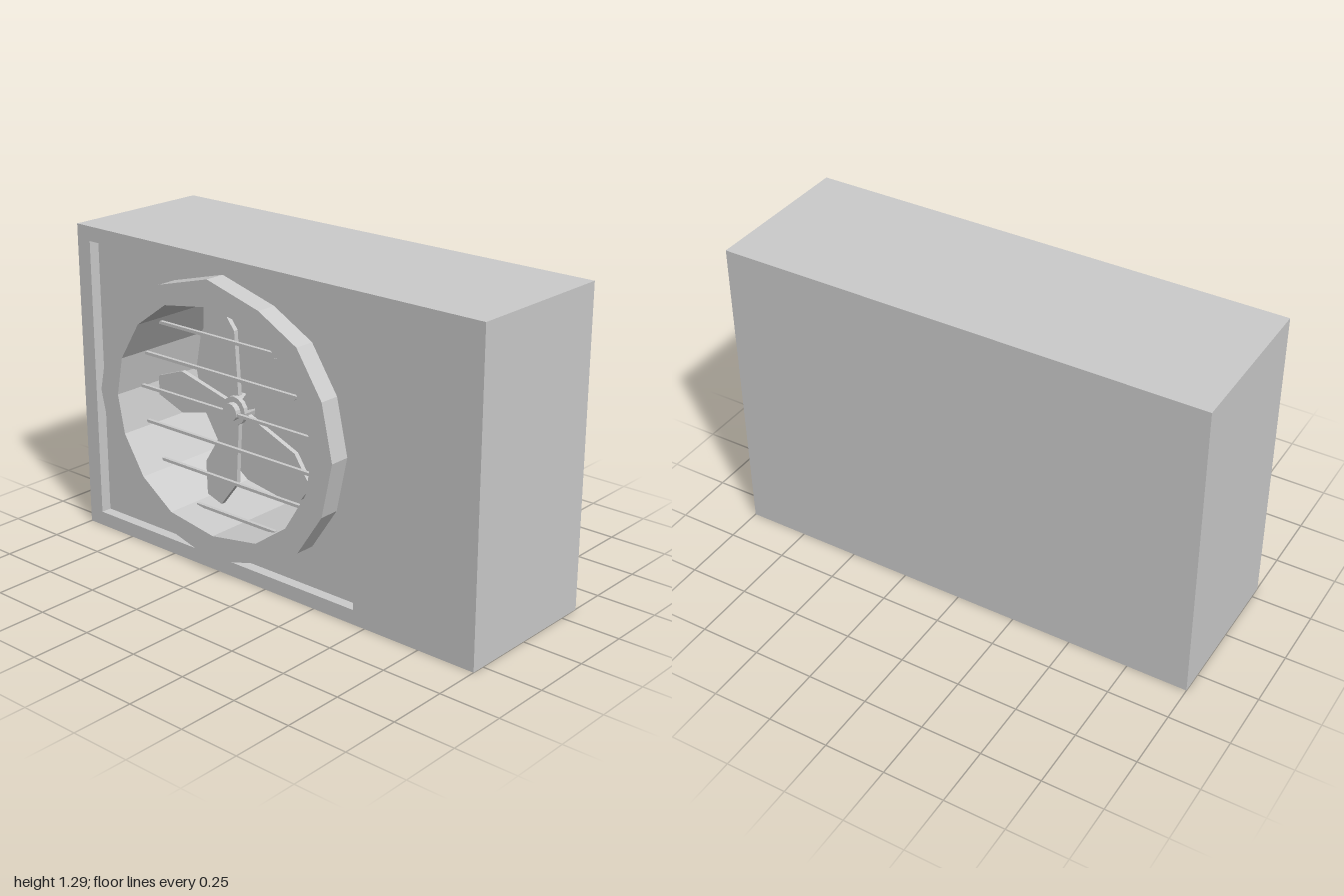
import * as THREE from 'three';

const material = new THREE.MeshStandardMaterial({ color: 0xcccccc, flatShading: true, side: THREE.DoubleSide });
const FRONT = 0.305, PANEL = 0.26, RIM = 0.345, BACK = -0.345, DUCT_BACK = -0.1;
const FAN = { x: -0.24, y: 0.635 };

// Mirror a quarter outline (top to right) into a closed 16-sided loop
function mirrorLoop(quarter) {
  const half = [...quarter, ...quarter.slice(0, -1).reverse().map(([x, y]) => [x, -y])];
  const full = [...half, ...half.slice(1, -1).reverse().map(([x, y]) => [-x, y])];
  return full.map(([x, y]) => new THREE.Vector2(FAN.x + x, FAN.y + y));
}

function rectLoop(x0, y0, x1, y1) {
  return [[x0, y0], [x1, y0], [x1, y1], [x0, y1]].map(([x, y]) => new THREE.Vector2(x, y));
}

function plate(outer, hole) {
  const shape = new THREE.Shape(outer);
  if (hole) shape.holes.push(new THREE.Path(hole));
  return shape;
}

// Open wall that follows a loop between two depths
function wallGeometry(loop, z0, z1) {
  const positions = [];
  loop.forEach((a, i) => {
    const b = loop[(i + 1) % loop.length];
    positions.push(a.x, a.y, z0, b.x, b.y, z0, b.x, b.y, z1);
    positions.push(a.x, a.y, z0, b.x, b.y, z1, a.x, a.y, z1);
  });
  const geometry = new THREE.BufferGeometry();
  geometry.setAttribute('position', new THREE.Float32BufferAttribute(positions, 3));
  geometry.computeVertexNormals();
  return geometry;
}

export function createModel() {
  const group = new THREE.Group();
  const add = (name, geometry, x = 0, y = 0, z = 0, parent = group) => {
    const mesh = new THREE.Mesh(geometry, material);
    mesh.name = name;
    mesh.position.set(x, y, z);
    parent.add(mesh);
    return mesh;
  };

  const outer = mirrorLoop([[0, 0.575], [0.26, 0.505], [0.445, 0.405], [0.565, 0.225], [0.615, 0]]);
  const innerQuarter = [[0, 0.467], [0.23, 0.43], [0.385, 0.32], [0.485, 0.16], [0.517, 0]];
  const inner = mirrorLoop(innerQuarter);
  const recess = rectLoop(-0.93, 0.06, 0.445, 1.23);

  // Casing: box without its front, closed by a frame
  const casing = new THREE.BoxGeometry(2, 1.29, FRONT - BACK);
  const faces = Array.from(casing.index.array);
  faces.splice(24, 6);
  casing.setIndex(faces);
  add('casing', casing, 0, 0.645, (FRONT + BACK) / 2);
  add('frontFrame', new THREE.ShapeGeometry(plate(rectLoop(-1, 0, 1, 1.29), recess)), 0, 0, FRONT);

  // Recessed panel with the round opening
  add('recessWalls', wallGeometry(recess, PANEL, FRONT));
  add('recessedPanel', new THREE.ShapeGeometry(plate(recess, inner)), 0, 0, PANEL);

  // Raised ring and the duct behind it
  add('fanRing', new THREE.ExtrudeGeometry(plate(outer, inner), { depth: RIM - PANEL, bevelEnabled: false }), 0, 0, PANEL);
  add('ductWall', wallGeometry(inner, DUCT_BACK, PANEL));
  add('ductBack', new THREE.ShapeGeometry(plate(inner)), 0, 0, DUCT_BACK);

  // Half width of the opening at a given height from its centre
  const halfWidth = (dy) => {
    const h = Math.abs(dy);
    const i = innerQuarter.findIndex((p) => p[1] <= h);
    const [x0, y0] = innerQuarter[i - 1], [x1, y1] = innerQuarter[i];
    return x0 + (x1 - x0) * (y0 - h) / (y0 - y1);
  };

  // Grille slats
  const grille = new THREE.Group();
  grille.name = 'grille';
  group.add(grille);
  for (let i = 0; i < 7; i++) {
    const y = 0.202 + i * 0.146;
    add('slat', new THREE.BoxGeometry(2 * halfWidth(y - FAN.y), 0.012, 0.015), FAN.x, y, 0.21, grille);
  }

  // Fan: five blades around a hub with a small shaft cap
  const fan = new THREE.Group();
  fan.name = 'fan';
  fan.position.set(-0.253, 0.648, 0.17);
  group.add(fan);
  const side = [[0.045, 0.022], [0.305, 0.088], [0.437, 0.04]];
  const outline = [...side, ...side.slice().reverse().map(([x, y]) => [x, -y])];
  const blade = new THREE.ExtrudeGeometry(
    plate(outline.map(([x, y]) => new THREE.Vector2(x, y))), { depth: 0.02, bevelEnabled: false });
  for (let i = 0; i < 5; i++) {
    add('blade', blade, 0, 0, -0.01, fan).rotation.z = Math.PI + i * Math.PI * 2 / 5;
  }
  add('hub', new THREE.CylinderGeometry(0.058, 0.058, 0.06, 16), 0, 0, 0, fan).rotation.x = Math.PI / 2;
  add('shaftCap', new THREE.CylinderGeometry(0.036, 0.036, 0.03, 16), 0, 0, 0.04, fan).rotation.x = Math.PI / 2;

  return group;
}
